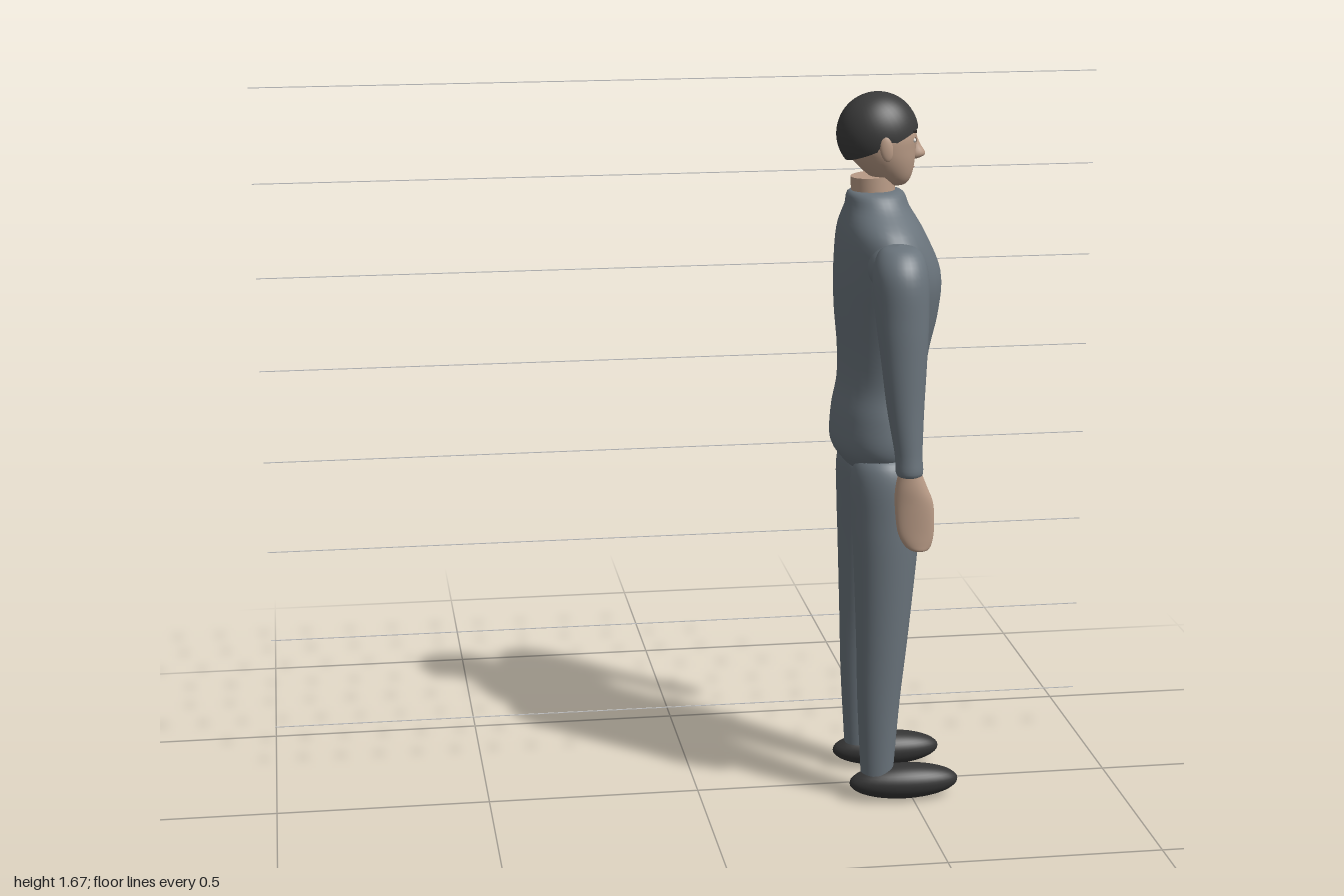
import * as THREE from 'three';

const mat = (name, color) => {
  const m = new THREE.MeshStandardMaterial({ color });
  m.name = name;
  return m;
};

// Smooth body from elliptical sections, top to bottom: [y, back x, front x, inner z, outer z].
// side mirrors the sections across z.
function loft(rows, side = 1, segments = 32, steps = 5) {
  const spline = (pick) => new THREE.CatmullRomCurve3(rows.map(pick), false, 'catmullrom', 0.5);
  const a = spline((r) => new THREE.Vector3(r[0], r[1], r[2]));
  const b = spline((r) => new THREE.Vector3(r[3], r[4], 0));
  const count = (rows.length - 1) * steps;
  const pos = [], index = [];
  for (let i = 0; i <= count; i++) {
    const p = a.getPoint(i / count), q = b.getPoint(i / count);
    const cx = (p.y + p.z) / 2, rx = (p.z - p.y) / 2;
    const cz = (side * (q.x + q.y)) / 2, rz = (q.y - q.x) / 2;
    for (let j = 0; j < segments; j++) {
      const t = (j / segments) * Math.PI * 2;
      pos.push(cx + rx * Math.cos(t), p.x, cz + rz * Math.sin(t));
      if (i === count) continue;
      const k = i * segments + j, n = i * segments + ((j + 1) % segments);
      index.push(k, n, k + segments, n, n + segments, k + segments);
    }
  }
  const g = new THREE.BufferGeometry();
  g.setAttribute('position', new THREE.Float32BufferAttribute(pos, 3));
  g.setIndex(index);
  g.computeVertexNormals();
  return g;
}

const ellipsoid = (rx, ry, rz) => new THREE.SphereGeometry(1, 32, 20).scale(rx, ry, rz);

export function createModel() {
  const suit = mat('suit grey', 0x6a747c);
  const skin = mat('skin', 0xba9c87);
  const hair = mat('hair', 0x3b3b3b);
  hair.side = THREE.DoubleSide;
  const shoeMat = mat('shoe', 0x343434);
  const dark = mat('feature dark', 0x2a2522);
  const white = mat('eye white', 0xe4e0da);
  const lip = mat('lip', 0x94705f);
  const lineMat = mat('height line', 0xcccccc);

  const model = new THREE.Group();
  const add = (name, geometry, material, x = 0, y = 0, z = 0) => {
    const m = new THREE.Mesh(geometry, material);
    m.name = name;
    m.position.set(x, y, z);
    model.add(m);
    return m;
  };

  // Torso
  add('torso', loft([
    [1.456, 0.41, 0.41, 0, 0],
    [1.455, 0.35, 0.468, -0.062, 0.062],
    [1.42, 0.34, 0.487, -0.1, 0.1],
    [1.36, 0.325, 0.522, -0.17, 0.17],
    [1.27, 0.318, 0.56, -0.178, 0.178],
    [1.18, 0.32, 0.557, -0.161, 0.161],
    [1.09, 0.328, 0.538, -0.146, 0.146],
    [1.01, 0.328, 0.528, -0.14, 0.14],
    [0.94, 0.316, 0.526, -0.15, 0.15],
    [0.87, 0.314, 0.522, -0.152, 0.152],
    [0.83, 0.335, 0.51, -0.128, 0.128],
    [0.8, 0.37, 0.48, -0.065, 0.065],
    [0.788, 0.425, 0.425, 0, 0],
  ]), suit);

  for (const s of [1, -1]) {
    const side = s > 0 ? 'left' : 'right';

    // Shoulders blending into the torso
    add(side + 'Shoulder', ellipsoid(0.064, 0.058, 0.088), suit, 0.427, 1.305, s * 0.165);

    // Arms
    add(side + 'Arm', loft([
      [1.365, 0.428, 0.428, 0.19, 0.19],
      [1.352, 0.385, 0.473, 0.14, 0.24],
      [1.3, 0.365, 0.49, 0.14, 0.276],
      [1.2, 0.37, 0.489, 0.174, 0.281],
      [1.1, 0.382, 0.484, 0.196, 0.281],
      [1.0, 0.395, 0.479, 0.206, 0.281],
      [0.9, 0.412, 0.475, 0.224, 0.283],
      [0.85, 0.417, 0.475, 0.232, 0.284],
      [0.849, 0.446, 0.446, 0.258, 0.258],
    ], s), suit);

    // Hands
    add(side + 'Hand', loft([
      [0.86, 0.422, 0.471, 0.236, 0.28],
      [0.82, 0.414, 0.487, 0.235, 0.281],
      [0.78, 0.413, 0.502, 0.239, 0.278],
      [0.72, 0.42, 0.505, 0.245, 0.273],
      [0.685, 0.436, 0.5, 0.247, 0.271],
      [0.67, 0.455, 0.49, 0.249, 0.269],
      [0.669, 0.472, 0.472, 0.259, 0.259],
    ], s), skin);

    // Legs
    add(side + 'Leg', loft([
      [0.86, 0.425, 0.425, 0.09, 0.09],
      [0.845, 0.37, 0.48, 0.04, 0.142],
      [0.8, 0.346, 0.507, 0.008, 0.164],
      [0.7, 0.348, 0.508, 0.018, 0.168],
      [0.6, 0.353, 0.5, 0.032, 0.167],
      [0.4, 0.361, 0.481, 0.053, 0.157],
      [0.25, 0.366, 0.466, 0.062, 0.148],
      [0.07, 0.377, 0.454, 0.068, 0.137],
    ], s), suit);

    // Shoes
    add(side + 'Shoe', ellipsoid(0.131, 0.042, 0.048), shoeMat, 0.48, 0.047, s * 0.108);

    // Ears
    const ear = add(side + 'Ear', ellipsoid(0.015, 0.031, 0.007), skin, 0.418, 1.562, s * 0.075);
    ear.rotation.z = 0.15;

    // Eyes
    add(side + 'Eye', ellipsoid(0.005, 0.006, 0.012), white, 0.489, 1.573, s * 0.034);
    add(side + 'Iris', ellipsoid(0.004, 0.0055, 0.0055), dark, 0.492, 1.573, s * 0.033);

    // Brows, following the curve of the forehead
    const brow = add(side + 'Brow', new THREE.BoxGeometry(0.008, 0.006, 0.032), dark, 0.489, 1.592, s * 0.034);
    brow.rotation.set(-s * 0.15, -s * 0.42, 0);
  }

  // Neck
  const neck = add('neck', new THREE.CylinderGeometry(0.05, 0.051, 0.1, 32), skin, 0.405, 1.44, 0);
  neck.rotation.z = 0.06;

  // Face
  add('head', loft([
    [1.66, 0.41, 0.41, 0, 0],
    [1.63, 0.345, 0.475, -0.06, 0.06],
    [1.59, 0.328, 0.5, -0.077, 0.077],
    [1.55, 0.338, 0.5, -0.075, 0.075],
    [1.515, 0.365, 0.497, -0.064, 0.064],
    [1.485, 0.4, 0.49, -0.046, 0.046],
    [1.469, 0.432, 0.477, -0.026, 0.026],
    [1.465, 0.455, 0.455, 0, 0],
  ]), skin);
  add('nose', loft([
    [1.588, 0.488, 0.499, -0.006, 0.006],
    [1.56, 0.486, 0.511, -0.009, 0.009],
    [1.537, 0.482, 0.524, -0.014, 0.014],
    [1.527, 0.486, 0.51, -0.01, 0.01],
    [1.524, 0.495, 0.495, 0, 0],
  ], 1, 16), skin);
  add('mouth', ellipsoid(0.009, 0.003, 0.022), lip, 0.489, 1.508, 0);

  // Hair cap, tilted so it is lower at the back
  const cap = new THREE.SphereGeometry(1, 40, 20, 0, Math.PI * 2, 0, 1.83);
  cap.rotateZ(0.42).scale(0.094, 0.094, 0.079);
  add('hair', cap, hair, 0.412, 1.586, 0);

  // Height lines on the wall behind
  for (let i = 0; i < 8; i++) {
    add('heightLine' + (i + 1), new THREE.BoxGeometry(2, 0.002, 0.002), lineMat, 0, 0.112 + i * 0.2233, -0.285);
  }

  return model;
}
